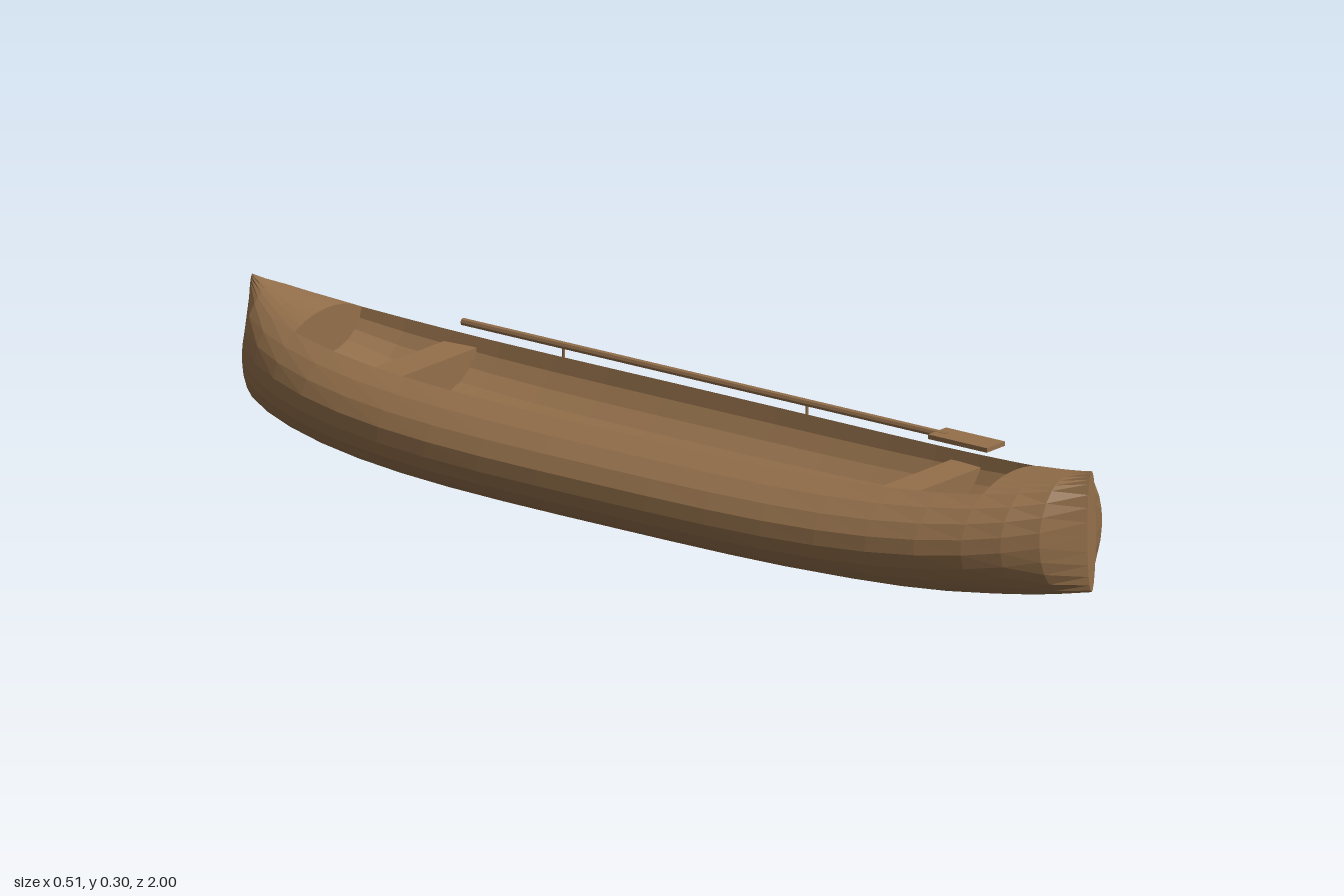
import * as THREE from 'three';

const RIM = Math.acos(0.6);          // angle of the gunwale on the hull's oval section
const OPEN_END = 0.82;               // where the hollow stops fore and aft

// Hull rules along the length
const halfWidth = z => Math.max(0.013, 0.254 * Math.sqrt(Math.max(0, 1 - Math.abs(z) ** 3)));
const centreY = z => 0.12 + 0.0575 * z ** 4;
const HALF_HEIGHT = 0.119;
const rimY = z => centreY(z) + HALF_HEIGHT * Math.sin(RIM);

// Oval arc at station z, from angle a to angle b
function hullArc(z, a, b, n) {
  return Array.from({ length: n + 1 }, (_, j) => {
    const t = a + (b - a) * j / n;
    return [halfWidth(z) * Math.cos(t), centreY(z) + HALF_HEIGHT * Math.sin(t), z];
  });
}

// Section of the hollow, from +x rim down and across to -x rim
function hollowArc(z, n) {
  const w = halfWidth(z) * 0.6, depth = 0.1 * halfWidth(z) / 0.25;
  return Array.from({ length: n + 1 }, (_, j) => {
    const t = -Math.PI * j / n;
    return [w * Math.cos(t), rimY(z) + depth * Math.sin(t), z];
  });
}

// Faceted skin over rows of points
function loft(rows) {
  const pos = [];
  for (let i = 0; i < rows.length - 1; i++) {
    for (let j = 0; j < rows[i].length - 1; j++) {
      const a = rows[i][j], b = rows[i][j + 1], c = rows[i + 1][j + 1], d = rows[i + 1][j];
      pos.push(...a, ...b, ...c, ...a, ...c, ...d);
    }
  }
  const g = new THREE.BufferGeometry();
  g.setAttribute('position', new THREE.Float32BufferAttribute(pos, 3));
  g.computeVertexNormals();
  return g;
}

export function createModel() {
  const model = new THREE.Group();
  const wood = new THREE.MeshStandardMaterial({ color: 0x94704b, flatShading: true });
  wood.name = 'brown wood';

  function add(name, geometry, x = 0, y = 0, z = 0, parent = model) {
    const mesh = new THREE.Mesh(geometry, wood);
    mesh.name = name;
    mesh.position.set(x, y, z);
    parent.add(mesh);
    return mesh;
  }

  // Stations from stern to bow
  const half = [0.13, 0.27, 0.4, 0.52, 0.63, 0.73, OPEN_END, 0.89, 0.95, 1];
  const stations = [...half.map(z => -z).reverse(), 0, ...half];

  // Outer hull with closed stem faces
  const body = z => hullArc(z, Math.PI - RIM, 2 * Math.PI + RIM, 20);
  const deckArc = z => hullArc(z, RIM, Math.PI - RIM, 10);
  const flat = row => row.map(p => [0, p[1], p[2]]);
  add('hull', loft([flat(body(-1)), ...stations.map(body), flat(body(1))]));

  // End decks, hollow and its end walls
  const bow = stations.filter(z => z >= OPEN_END).map(deckArc);
  const stern = stations.filter(z => z <= -OPEN_END).map(deckArc);
  add('bowDeck', loft([...bow, flat(deckArc(1))]));
  add('sternDeck', loft([flat(deckArc(-1)), ...stern]));
  add('hollow', loft(stations.filter(z => Math.abs(z) <= OPEN_END).map(z => hollowArc(z, 10))));
  add('bowWall', loft([hollowArc(OPEN_END, 10), deckArc(OPEN_END)]));
  add('sternWall', loft([deckArc(-OPEN_END), hollowArc(-OPEN_END, 10)]));

  // Benches sunk into the hollow
  for (const [name, z] of [['bowBench', 0.6], ['sternBench', -0.605]]) {
    add(name, new THREE.BoxGeometry(0.262, 0.075, 0.074), 0, 0.1645, z);
  }

  // Paddle lying along the left gunwale on two pegs
  const paddle = new THREE.Group();
  paddle.name = 'paddle';
  paddle.position.set(0.181, 0.227, 0);
  model.add(paddle);
  add('shaft', new THREE.CylinderGeometry(0.0075, 0.0075, 1.155, 8).rotateX(Math.PI / 2), 0, 0, -0.0625, paddle);
  add('blade', new THREE.BoxGeometry(0.055, 0.009, 0.14), 0, 0, 0.56, paddle);
  for (const z of [0.18, -0.4]) {
    add('peg', new THREE.CylinderGeometry(0.003, 0.003, 0.035, 6), 0, -0.0175, z, paddle);
  }

  return model;
}
